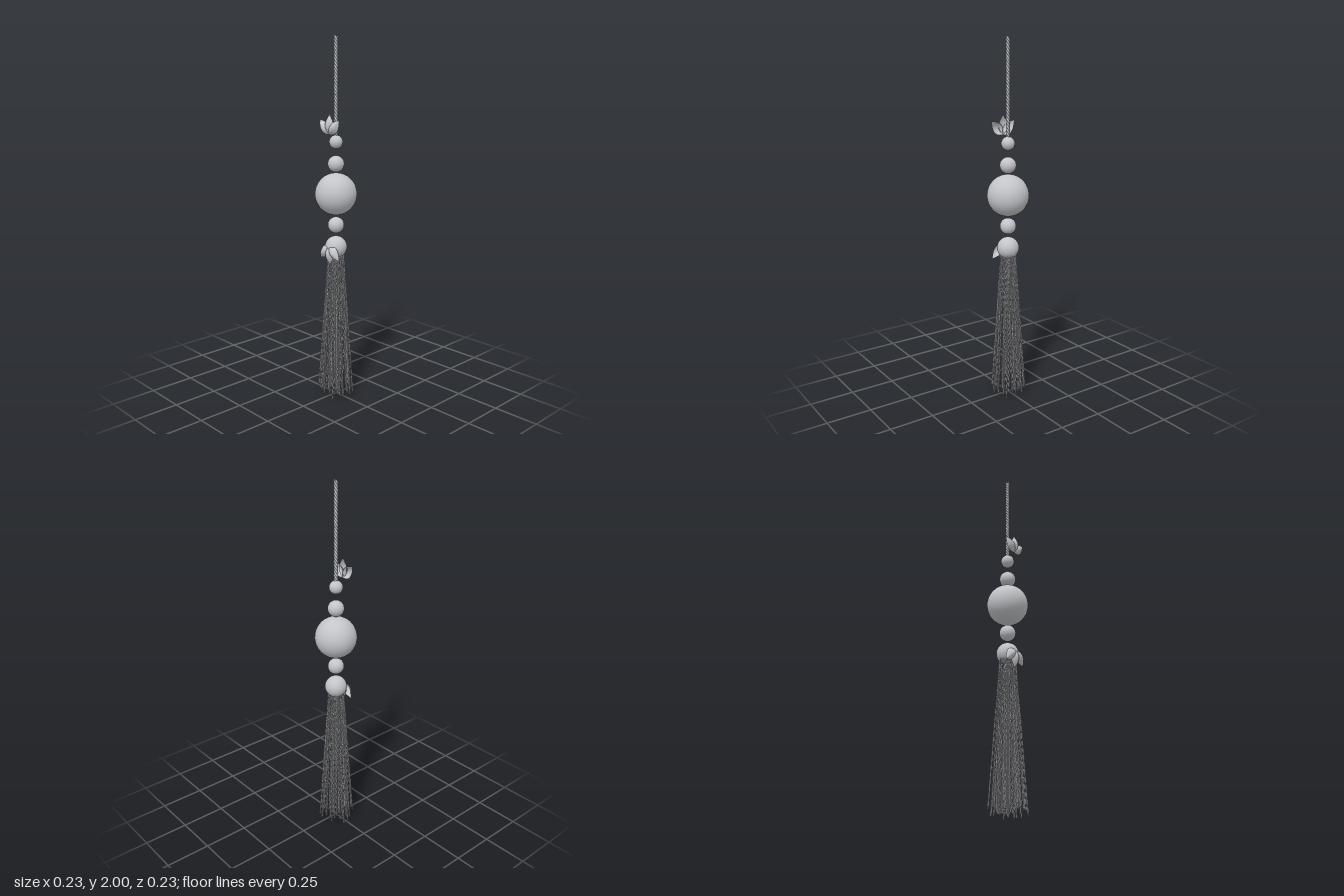
import * as THREE from 'three';
import { mergeGeometries } from 'three/addons/utils/BufferGeometryUtils.js';

// Plies twisted round a straight line from a to b
function twistedStrand(a, b, { plies, offset, radius, turns, steps, sides, phase = 0 }) {
  const tubes = [];
  for (let p = 0; p < plies; p++) {
    const points = [];
    for (let i = 0; i <= steps; i++) {
      const t = i / steps;
      const angle = phase + (p / plies + t * turns) * Math.PI * 2;
      const point = new THREE.Vector3().lerpVectors(a, b, t);
      point.x += Math.cos(angle) * offset;
      point.z += Math.sin(angle) * offset;
      points.push(point);
    }
    tubes.push(new THREE.TubeGeometry(new THREE.CatmullRomCurve3(points), steps, radius, sides));
  }
  return mergeGeometries(tubes);
}

// Domed pointed petal growing up from its base at the origin
function petalGeometry(length, halfWidth, bulge) {
  const geometry = new THREE.PlaneGeometry(2, 1, 10, 14);
  const pos = geometry.attributes.position;
  for (let i = 0; i < pos.count; i++) {
    const v = pos.getX(i);
    const u = pos.getY(i) + 0.5;
    const swell = Math.sin(Math.PI * Math.pow(u, 0.85));
    pos.setXYZ(i, v * halfWidth * swell, u * length, bulge * swell * (1 - v * v));
  }
  geometry.computeVertexNormals();
  return geometry;
}

export function createModel() {
  const group = new THREE.Group();
  const grey = new THREE.MeshStandardMaterial({ color: 0xc4c5c9 });
  grey.name = 'pale grey';
  const petalGrey = grey.clone();
  petalGrey.name = 'pale grey petal';
  petalGrey.side = THREE.DoubleSide;

  const add = (name, geometry, material = grey, parent = group) => {
    const mesh = new THREE.Mesh(geometry, material);
    mesh.name = name;
    parent.add(mesh);
    return mesh;
  };

  // Hanging cord
  add('cord', twistedStrand(new THREE.Vector3(0, 1.485, 0), new THREE.Vector3(0, 2, 0),
    { plies: 3, offset: 0.0062, radius: 0.006, turns: 9, steps: 110, sides: 6 }));

  // Beads, from top to bottom: name, height, radius
  const beads = [
    ['topBead', 1.449, 0.037],
    ['upperBead', 1.331, 0.045],
    ['mainBead', 1.167, 0.115],
    ['lowerBead', 0.995, 0.045],
    ['tasselCap', 0.872, 0.061],
  ];
  for (const [name, y, radius] of beads) {
    add(name, new THREE.SphereGeometry(radius, 32, 24)).position.y = y;
  }

  // Three-petal sprays in front of the cord and of the tassel cap
  const petal = petalGeometry(0.108, 0.03, 0.026);
  for (const [name, y, roll] of [['upperPetals', 1.49, 0], ['lowerPetals', 0.885, Math.PI]]) {
    const spray = new THREE.Group();
    spray.name = name;
    spray.position.set(0, y, 0.047);
    spray.rotation.z = roll;
    for (const tilt of [-0.77, 0, 0.77]) {
      add('petal', petal, petalGrey, spray).rotation.z = tilt;
    }
    group.add(spray);
  }

  // Tassel threads fanning out from the cap, with uneven ends
  let seed = 7;
  const random = () => (seed = (seed * 16807) % 2147483647) / 2147483647;
  const count = 60;
  const threads = [];
  for (let i = 0; i < count; i++) {
    const spread = Math.sqrt((i + 0.5) / count);
    const angle = i * 2.39996;
    const x = Math.cos(angle) * spread;
    const z = Math.sin(angle) * spread;
    const end = 0.005 + random() * 0.05;
    threads.push(twistedStrand(
      new THREE.Vector3(x * 0.043, 0.845, z * 0.043),
      new THREE.Vector3(x * 0.102, end, z * 0.102),
      { plies: 2, offset: 0.0026, radius: 0.0028, turns: 11, steps: 66, sides: 4, phase: random() * 6.28 }));
  }
  add('tasselThreads', mergeGeometries(threads));

  return group;
}
